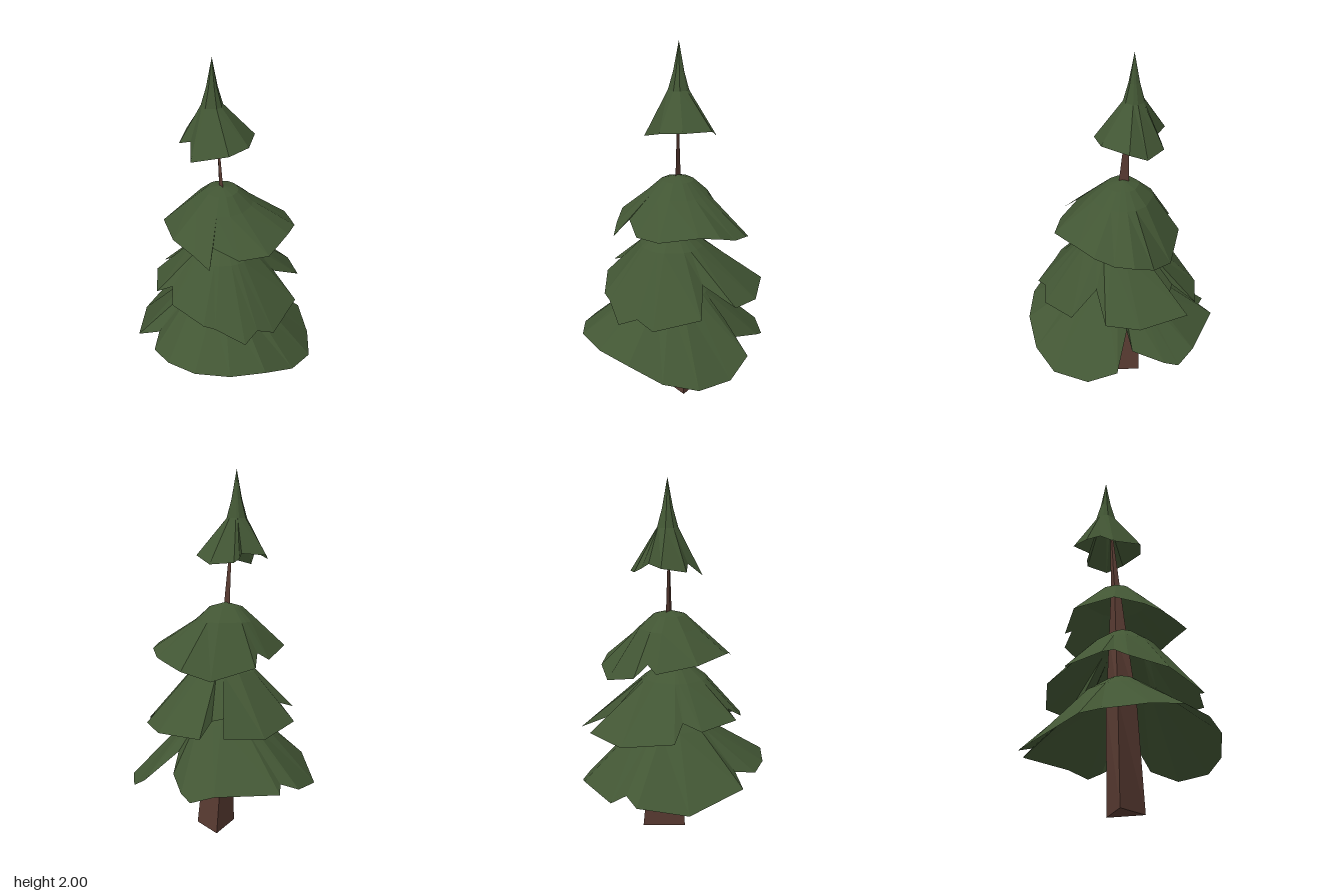
import * as THREE from 'three';

const foliage = new THREE.MeshStandardMaterial({ color: 0x425634, flatShading: true, side: THREE.DoubleSide });
foliage.name = 'pine green';
const bark = new THREE.MeshStandardMaterial({ color: 0x593b32, flatShading: true, side: THREE.DoubleSide });
bark.name = 'bark brown';

// Joins rings of [x, y, z] points from top to bottom; a tip closes the top
function loft(name, tip, rings, material, closeBottom = false) {
  const n = rings[0].length;
  const pos = [...tip, ...rings.flat(2)];
  const index = [];
  const at = (ring, i) => 1 + ring * n + (i % n);
  for (let i = 0; i < n; i++) {
    index.push(0, at(0, i), at(0, i + 1));
    for (let r = 0; r + 1 < rings.length; r++) {
      index.push(at(r, i), at(r + 1, i), at(r + 1, i + 1));
      index.push(at(r, i), at(r + 1, i + 1), at(r, i + 1));
    }
  }
  if (closeBottom) {
    const last = rings.length - 1;
    for (let i = 1; i + 1 < n; i++) index.push(at(last, 0), at(last, i + 1), at(last, i));
  }
  const geo = new THREE.BufferGeometry();
  geo.setAttribute('position', new THREE.Float32BufferAttribute(pos, 3));
  geo.setIndex(index);
  geo.computeVertexNormals();
  const mesh = new THREE.Mesh(geo, material);
  mesh.name = name;
  return mesh;
}

// A ragged skirt: round shoulders [radius, y] about the tip, then an uneven rim
function skirt(name, tip, shoulders, rim) {
  const rings = shoulders.map(([radius, y]) => rim.map(([x, , z]) => {
    const dx = x - tip[0], dz = z - tip[2], d = Math.hypot(dx, dz);
    return [tip[0] + dx / d * radius, y, tip[2] + dz / d * radius];
  }));
  return loft(name, tip, [...rings, rim], foliage);
}

export function createModel() {
  const tree = new THREE.Group();
  tree.name = 'pineTree';

  // Leaning three-sided trunk
  tree.add(loft('trunk', [-0.01, 1.75, -0.045], [
    [[0.0, 1.28, -0.02], [0.01, 1.28, 0.01], [0.008, 1.28, -0.045]],
    [[0.008, 1.0, -0.015], [0.03, 1.0, 0.04], [0.03, 1.0, -0.062]],
    [[-0.035, 0.6, 0.01], [0.07, 0.6, 0.085], [0.07, 0.6, -0.09]],
    [[-0.07, 0, 0.033], [0.13, 0, 0.11], [0.13, 0, -0.105]],
  ], bark, true));

  // Rims run back, left side of the plan, front, then right side
  tree.add(skirt('bottomBranches', [0, 0.72, 0.02], [[0.08, 0.705], [0.2, 0.625]], [
    [0.01, 0.33, -0.545], [-0.04, 0.36, -0.475], [-0.135, 0.325, -0.51],
    [-0.36, 0.28, -0.35], [-0.5, 0.36, -0.04], [-0.4, 0.41, 0.04],
    [-0.465, 0.385, 0.15], [-0.43, 0.4, 0.295], [-0.33, 0.415, 0.445],
    [-0.155, 0.4, 0.525], [0.05, 0.375, 0.545], [0.24, 0.3, 0.5],
    [0.4, 0.26, 0.395], [0.485, 0.255, 0.205], [0.5, 0.33, 0.04],
    [0.32, 0.48, -0.02], [0.37, 0.37, -0.05], [0.42, 0.32, -0.23],
    [0.41, 0.29, -0.31], [0.32, 0.33, -0.4],
  ]));

  tree.add(skirt('lowerBranches', [0.0, 0.99, 0.03], [[0.07, 0.98], [0.18, 0.9]], [
    [0.03, 0.6, -0.43], [-0.24, 0.64, -0.315], [-0.22, 0.725, -0.21],
    [-0.325, 0.69, -0.185], [-0.4, 0.71, 0.04], [-0.32, 0.75, 0.08],
    [-0.355, 0.695, 0.165], [-0.24, 0.65, 0.35], [-0.185, 0.635, 0.38],
    [-0.05, 0.565, 0.485], [0.04, 0.6, 0.44], [0.14, 0.555, 0.44],
    [0.345, 0.61, 0.285], [0.27, 0.74, 0.145], [0.45, 0.635, 0.1],
    [0.475, 0.62, -0.085], [0.375, 0.63, -0.35], [0.25, 0.69, -0.26],
    [0.19, 0.7, -0.28], [0.265, 0.63, -0.405],
  ]));

  tree.add(skirt('upperBranches', [0.01, 1.285, -0.01], [[0.09, 1.26], [0.17, 1.187]], [
    [0.02, 0.96, -0.325], [-0.03, 1.03, -0.265], [-0.095, 0.99, -0.28],
    [-0.28, 1.04, -0.16], [-0.305, 1.06, 0.075], [-0.24, 1.03, 0.22],
    [-0.19, 0.99, 0.32], [-0.14, 1.07, 0.24], [-0.03, 1.02, 0.335],
    [0.13, 1.03, 0.365], [0.3, 1.05, 0.24], [0.38, 1.035, 0.155],
    [0.41, 1.0, 0.05], [0.42, 0.99, -0.055], [0.38, 0.95, -0.16],
    [0.255, 0.9, -0.26],
  ]));

  tree.add(skirt('crown', [-0.02, 2, -0.07], [[0.03, 1.84], [0.058, 1.74]], [
    [0.02, 1.555, -0.185], [-0.1, 1.545, -0.24], [-0.185, 1.52, -0.13],
    [-0.145, 1.555, -0.06], [-0.18, 1.485, 0.03], [-0.01, 1.54, 0.14],
    [0.115, 1.55, 0.105], [0.21, 1.545, -0.035], [0.185, 1.5, -0.13],
    [0.09, 1.51, -0.22], [0.05, 1.53, -0.21],
  ]));

  return tree;
}
